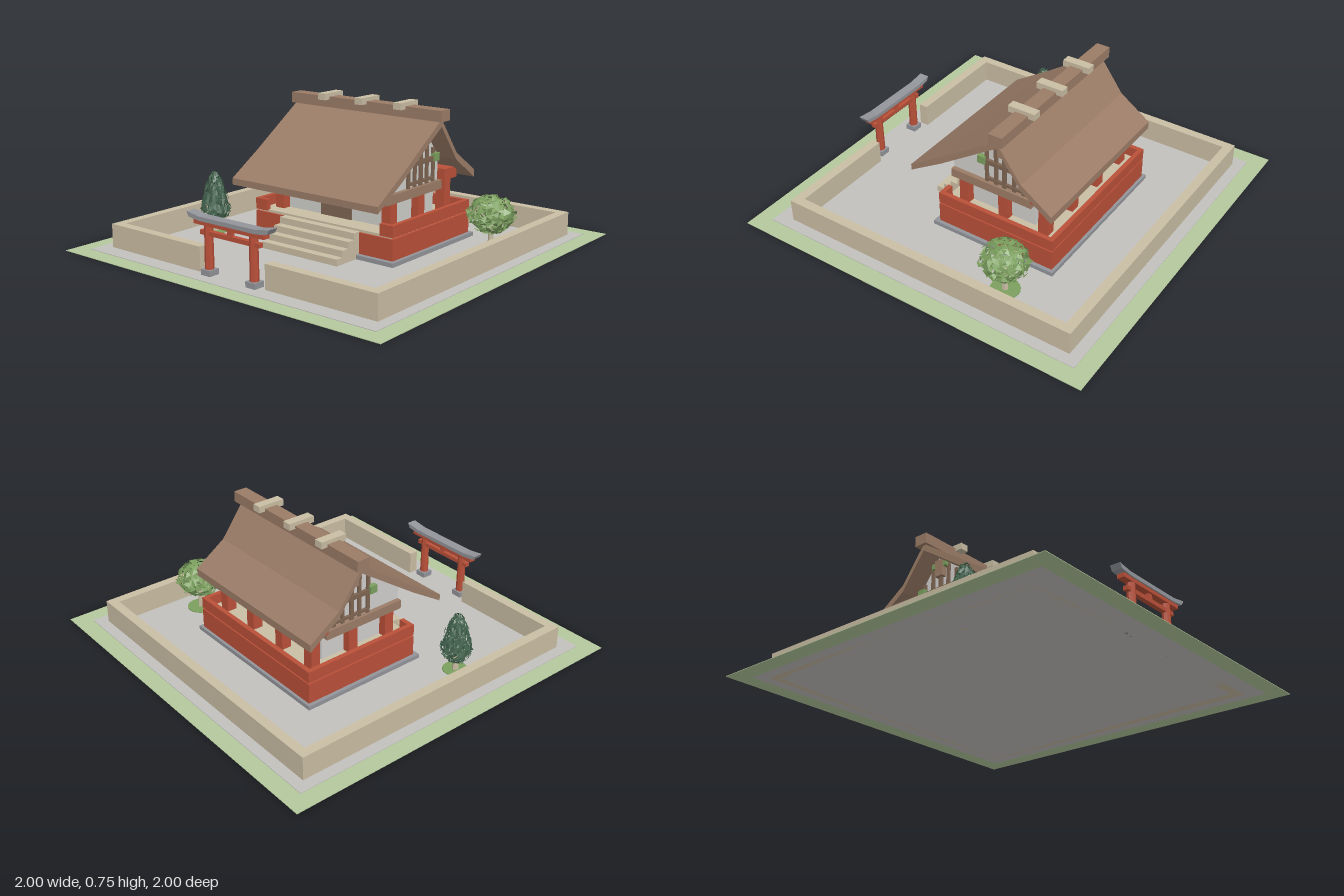
import * as THREE from 'three';

const mat = (name, color, double) => {
  const m = new THREE.MeshStandardMaterial({ color, flatShading: true });
  m.name = name;
  if (double) m.side = THREE.DoubleSide;
  return m;
};

export function createModel() {
  const M = {
    thatch: mat('thatch brown', 0x9b7c67),
    cream: mat('pale timber', 0xc9bda3),
    red: mat('vermilion', 0xba5039),
    gravel: mat('gravel', 0xc2c0bd),
    grass: mat('grass', 0xb4c89c),
    stone: mat('grey stone', 0x92959a),
    pine: mat('dark foliage', 0x44654f, true),
    leaf: mat('light foliage', 0x7b9f5e, true),
    plaster: mat('plaster', 0xcfcecb),
    wood: mat('dark wood', 0x7f6552),
  };
  const root = new THREE.Group();
  root.name = 'shrine';

  const add = (name, geo, material, parent = root) => {
    const m = new THREE.Mesh(geo, material);
    m.name = name;
    parent.add(m);
    return m;
  };
  // Box given by its extents along each axis
  const box = (name, material, x0, x1, y0, y1, z0, z1, parent = root) => {
    const g = new THREE.BoxGeometry(x1 - x0, y1 - y0, z1 - z0);
    g.translate((x0 + x1) / 2, (y0 + y1) / 2, (z0 + z1) / 2);
    return add(name, g, material, parent);
  };
  const shapeOf = (pts) => new THREE.Shape(pts.map(([a, b]) => new THREE.Vector2(a, b)));
  // Extrude a (z, y) profile along x, centred on x
  const alongX = (pts, width, x = 0) => {
    const g = new THREE.ExtrudeGeometry(shapeOf(pts), { depth: width, bevelEnabled: false });
    return g.translate(0, 0, -width / 2).rotateY(-Math.PI / 2).translate(x, 0, 0);
  };
  // Extrude an (x, z) plan upward
  const plan = (shape, y0, y1) => {
    const g = new THREE.ExtrudeGeometry(shape, { depth: y1 - y0, bevelEnabled: false });
    return g.rotateX(Math.PI / 2).translate(0, y1, 0);
  };
  const square = (r) => [[-r, -r], [r, -r], [r, r], [-r, r]];

  // Ground: grass border around a gravel court
  const border = shapeOf(square(1));
  border.holes.push(new THREE.Path(square(0.91).map(([a, b]) => new THREE.Vector2(a, b))));
  add('grassBorder', plan(border, 0, 0.003), M.grass);
  box('court', M.gravel, -0.91, 0.91, 0, 0.006, -0.91, 0.91);

  // Perimeter wall with a gap at the gate
  add('perimeterWall', plan(shapeOf([
    [-0.21, 0.82], [-0.85, 0.82], [-0.85, -0.85], [0.85, -0.85], [0.85, 0.82], [0.21, 0.82],
    [0.21, 0.77], [0.8, 0.77], [0.8, -0.8], [-0.8, -0.8], [-0.8, 0.77], [-0.21, 0.77],
  ]), 0, 0.13), M.cream);

  // Gate
  const gate = new THREE.Group();
  gate.name = 'gate';
  root.add(gate);
  for (const s of [-1, 1]) {
    const x = s * 0.145;
    box('gateFoot', M.stone, x - 0.03, x + 0.03, 0, 0.035, 0.79, 0.85, gate);
    const post = add('gatePost', new THREE.CylinderGeometry(0.021, 0.023, 0.225, 8), M.red, gate);
    post.position.set(x, 0.145, 0.82);
  }
  box('gateTieBeam', M.red, -0.19, 0.19, 0.2, 0.222, 0.807, 0.833, gate);
  box('gateStrut', M.red, -0.015, 0.015, 0.222, 0.25, 0.81, 0.83, gate);
  box('gateLintel', M.red, -0.225, 0.225, 0.248, 0.27, 0.8, 0.84, gate);
  const cap = new THREE.ExtrudeGeometry(shapeOf([
    [-0.25, 0.277], [-0.18, 0.268], [0.18, 0.268], [0.25, 0.277],
    [0.265, 0.302], [0.18, 0.289], [-0.18, 0.289], [-0.265, 0.302],
  ]), { depth: 0.055, bevelEnabled: false });
  add('gateCap', cap.translate(0, 0, 0.792), M.stone, gate);

  // Plinth, raised deck and front steps
  box('plinth', M.stone, -0.47, 0.47, 0.006, 0.028, -0.515, 0.2);
  box('deckBase', M.red, -0.45, 0.45, 0.028, 0.137, -0.5, 0.175);
  box('deckFloor', M.cream, -0.435, 0.435, 0.137, 0.15, -0.485, 0.165);
  for (let i = 0; i < 4; i++) {
    box('step', M.cream, -0.245, 0.245, 0.006, 0.04 + i * 0.034, 0.17, 0.35 - i * 0.045);
  }

  // Railing: closed at the back and sides, short returns at the front
  for (const s of [-1, 1]) {
    const [a, b] = s < 0 ? [-0.45, -0.425] : [0.425, 0.45];
    box('sideRail', M.red, a, b, 0.145, 0.205, -0.5, 0.175);
    const [c, d] = s < 0 ? [-0.425, -0.37] : [0.37, 0.425];
    box('frontRail', M.red, c, d, 0.145, 0.205, 0.15, 0.175);
  }
  box('backRail', M.red, -0.425, 0.425, 0.145, 0.205, -0.5, -0.475);

  // Hall walls, door and pillars
  box('hallWalls', M.plaster, -0.335, 0.335, 0.15, 0.3, -0.33, 0.05);
  box('door', M.wood, -0.1, 0.1, 0.15, 0.28, 0.05, 0.058);
  for (const x of [-0.35, 0.35]) {
    for (const z of [0.07, -0.165, -0.4]) {
      box('pillar', M.red, x - 0.028, x + 0.028, 0.15, z < -0.3 ? 0.34 : 0.295, z - 0.027, z + 0.027);
    }
  }
  for (const x of [-0.12, 0.12]) {
    box('backPillar', M.red, x - 0.028, x + 0.028, 0.15, 0.34, -0.427, -0.373);
  }
  box('backEaveBeam', M.red, -0.4, 0.4, 0.33, 0.388, -0.45, -0.34);
  box('ringBeam', M.thatch, -0.385, 0.385, 0.285, 0.332, -0.335, 0.14);
  add('gableWalls', alongX([
    [-0.33, 0.33], [0.14, 0.33], [0.14, 0.425], [-0.195, 0.645], [-0.33, 0.465],
  ], 0.72), M.plaster);

  // Gable timbering on both ends
  for (const s of [-1, 1]) {
    const gable = new THREE.Group();
    gable.name = 'gableTimbers';
    root.add(gable);
    const strip = (name, m, z0, z1, y0, y1, t) => {
      const [a, b] = s < 0 ? [-0.36 - t, -0.36] : [0.36, 0.36 + t];
      box(name, m, a, b, y0, y1, z0, z1, gable);
    };
    for (const [z, top] of [[-0.065, 0.54], [-0.12, 0.58], [-0.225, 0.58], [-0.28, 0.51]]) {
      strip('gableStud', M.wood, z - 0.009, z + 0.009, 0.33, top, 0.012);
    }
    strip('gableRail', M.wood, -0.3, -0.04, 0.44, 0.465, 0.016);
    strip('lowerGableRail', M.wood, -0.28, -0.065, 0.345, 0.36, 0.014);
    strip('kingPost', M.thatch, -0.193, -0.143, 0.52, 0.61, 0.03);
    strip('kingStud', M.wood, -0.18, -0.16, 0.33, 0.52, 0.014);
    for (const [z, y] of [[-0.043, 0.46], [-0.29, 0.46], [-0.135, 0.585], [-0.205, 0.585]]) {
      const r = y < 0.5 ? 0.021 : 0.014;
      strip('gableOrnament', M.leaf, z - r, z + r, y - r, y + r, 0.026);
    }
  }

  // Roof: long front slope, short flared back slope
  add('roof', alongX([
    [0.325, 0.3], [0.325, 0.335], [0.135, 0.455], [-0.195, 0.678], [-0.335, 0.487], [-0.505, 0.37],
    [-0.505, 0.33], [-0.335, 0.45], [-0.195, 0.64], [0.135, 0.417],
  ], 0.945), M.thatch);
  box('ridge', M.thatch, -0.49, 0.49, 0.668, 0.725, -0.24, -0.165);
  for (const x of [-0.247, 0, 0.247]) {
    box('ridgeLog', M.cream, x - 0.024, x + 0.024, 0.71, 0.745, -0.275, -0.125);
  }

  // Trees: ragged shells of loose leaf facets, each facet tilted and enlarged
  let seed = 7;
  const rnd = () => (seed = (seed * 16807) % 2147483647) / 2147483647;
  const foliage = (radiusAt, y0, y1) => {
    const g = new THREE.IcosahedronGeometry(1, 3);
    const p = g.attributes.position;
    const v = new THREE.Vector3();
    for (let i = 0; i < p.count; i += 3) {
      const grow = 0.82 + rnd() * 0.16;
      for (let k = i; k < i + 3; k++) {
        v.fromBufferAttribute(p, k);
        const t = (v.y + 1) / 2;
        const ring = Math.hypot(v.x, v.z) || 1;
        const r = radiusAt(t) * (grow + (rnd() - 0.5) * 0.3);
        p.setXYZ(k, v.x / ring * r, y0 + t * (y1 - y0) + (rnd() - 0.5) * 0.014, v.z / ring * r);
      }
    }
    g.computeVertexNormals();
    return g;
  };
  const tree = (name, x, z, material, radiusAt, y0, y1, shade) => {
    const t = new THREE.Group();
    t.name = name;
    t.position.set(x, 0, z);
    root.add(t);
    add('foliage', foliage(radiusAt, y0, y1), material, t);
    add('trunk', new THREE.CylinderGeometry(0.012, 0.017, y0 + 0.04, 6)
      .translate(0, (y0 + 0.04) / 2, 0), M.cream, t);
    add('mossPatch', new THREE.CylinderGeometry(shade, shade, 0.004, 20).translate(0, 0.008, 0), M.leaf, t);
  };
  tree('conifer', -0.66, 0.27, M.pine,
    (t) => 0.092 * Math.min(1, Math.sqrt(t * 4)) * Math.pow(Math.max(0, 1 - t), 0.45), 0.05, 0.33, 0.065);
  tree('leafyTree', 0.665, -0.375, M.leaf,
    (t) => 0.122 * Math.sqrt(Math.max(0, 1 - (2 * t - 1) ** 2)), 0.09, 0.285, 0.075);

  return root;
}
